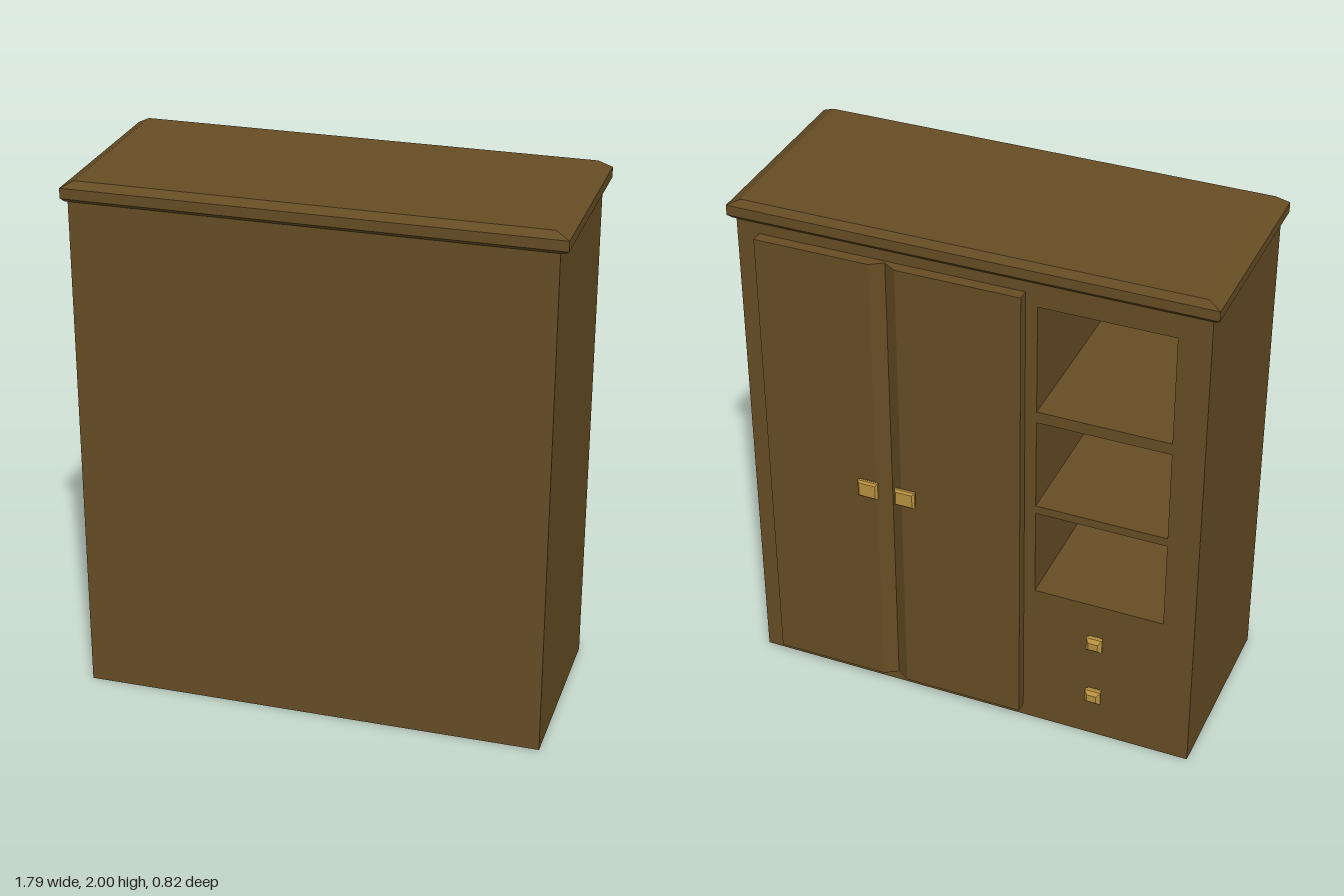
import * as THREE from 'three';

const wood = new THREE.MeshStandardMaterial({ color: 0x664d24, flatShading: true });
const brass = new THREE.MeshStandardMaterial({ color: 0xb8923f, flatShading: true });

// Stack of rectangles [y, x0, x1, z0, z1] joined by flat sides and capped.
function rectLoft(sections) {
  const pos = [], idx = [];
  for (const [y, x0, x1, z0, z1] of sections)
    pos.push(x0, y, z1, x1, y, z1, x1, y, z0, x0, y, z0);
  const last = (sections.length - 1) * 4;
  for (let s = 0; s < last; s += 4)
    for (let i = 0; i < 4; i++) {
      const a = s + i, b = s + (i + 1) % 4;
      idx.push(a, b, b + 4, a, b + 4, a + 4);
    }
  idx.push(0, 2, 1, 0, 3, 2, last, last + 1, last + 2, last, last + 2, last + 3);
  const g = new THREE.BufferGeometry();
  g.setAttribute('position', new THREE.Float32BufferAttribute(pos, 3));
  g.setIndex(idx);
  const flat = g.toNonIndexed();
  flat.computeVertexNormals();
  return flat;
}

function rectPath(P, x0, x1, y0, y1) {
  const p = new P();
  p.moveTo(x0, y0);
  p.lineTo(x1, y0);
  p.lineTo(x1, y1);
  p.lineTo(x0, y1);
  p.closePath();
  return p;
}

export function createModel() {
  const model = new THREE.Group();
  model.name = 'wardrobe';
  const add = (name, geometry, material, x = 0, y = 0, z = 0) => {
    const mesh = new THREE.Mesh(geometry, material);
    mesh.name = name;
    mesh.position.set(x, y, z);
    model.add(mesh);
    return mesh;
  };

  // Carcass with three open shelf compartments
  const outline = rectPath(THREE.Shape, -0.87, 0.865, 0, 1.93);
  for (const [y0, y1] of [[0.615, 0.967], [1.0, 1.36], [1.405, 1.83]])
    outline.holes.push(rectPath(THREE.Path, -0.752, -0.258, y0, y1));
  add('carcass', new THREE.ExtrudeGeometry(outline, { depth: 0.72, bevelEnabled: false }), wood, 0, 0, -0.34);
  add('backPanel', new THREE.BoxGeometry(1.735, 1.93, 0.02), wood, -0.0025, 0.965, 0.39);

  // Chamfered top slab
  add('top', rectLoft([
    [1.925, -0.88, 0.88, -0.345, 0.4],
    [1.937, -0.895, 0.895, -0.355, 0.41],
    [1.975, -0.895, 0.895, -0.355, 0.41],
    [2.0, -0.848, 0.845, -0.337, 0.388],
  ]), wood);

  // Two doors whose meeting edges slope into a V groove
  for (const [name, outer, bevel] of [['leftDoor', 0.78, 0.345], ['rightDoor', -0.215, 0.247]]) {
    const seam = 0.296;
    const s = new THREE.Shape([
      [outer, 0.34], [outer, 0.383], [bevel, 0.383], [seam, 0.352], [seam, 0.34],
    ].map(([x, z]) => new THREE.Vector2(x, z)));
    const g = new THREE.ExtrudeGeometry(s, { depth: 1.83, bevelEnabled: false });
    g.rotateX(-Math.PI / 2);
    add(name, g, wood, 0, 0.05, 0);
  }

  // Knob pointing backwards, from [depth, half width, half height] steps
  const knob = (name, steps, x, y, z) => {
    const g = rectLoft(steps.map(([d, w, h]) => [d, -w, w, -h, h]));
    g.rotateX(-Math.PI / 2);
    add(name, g, brass, x, y, z);
  };
  const doorKnob = [[0, 0.032, 0.027], [0.013, 0.04, 0.035], [0.021, 0.04, 0.035], [0.028, 0.032, 0.027]];
  knob('leftDoorKnob', doorKnob, 0.371, 0.935, -0.383);
  knob('rightDoorKnob', doorKnob, 0.225, 0.935, -0.383);

  const drawerKnob = [[0, 0.025, 0.022], [0.016, 0.031, 0.028], [0.024, 0.031, 0.028], [0.036, 0.018, 0.015]];
  for (const [name, y] of [['upperDrawerKnob', 0.45], ['lowerDrawerKnob', 0.2]])
    knob(name, drawerKnob, -0.5, y, -0.34);

  // Centre the depth, counting the knobs
  return model;
}
